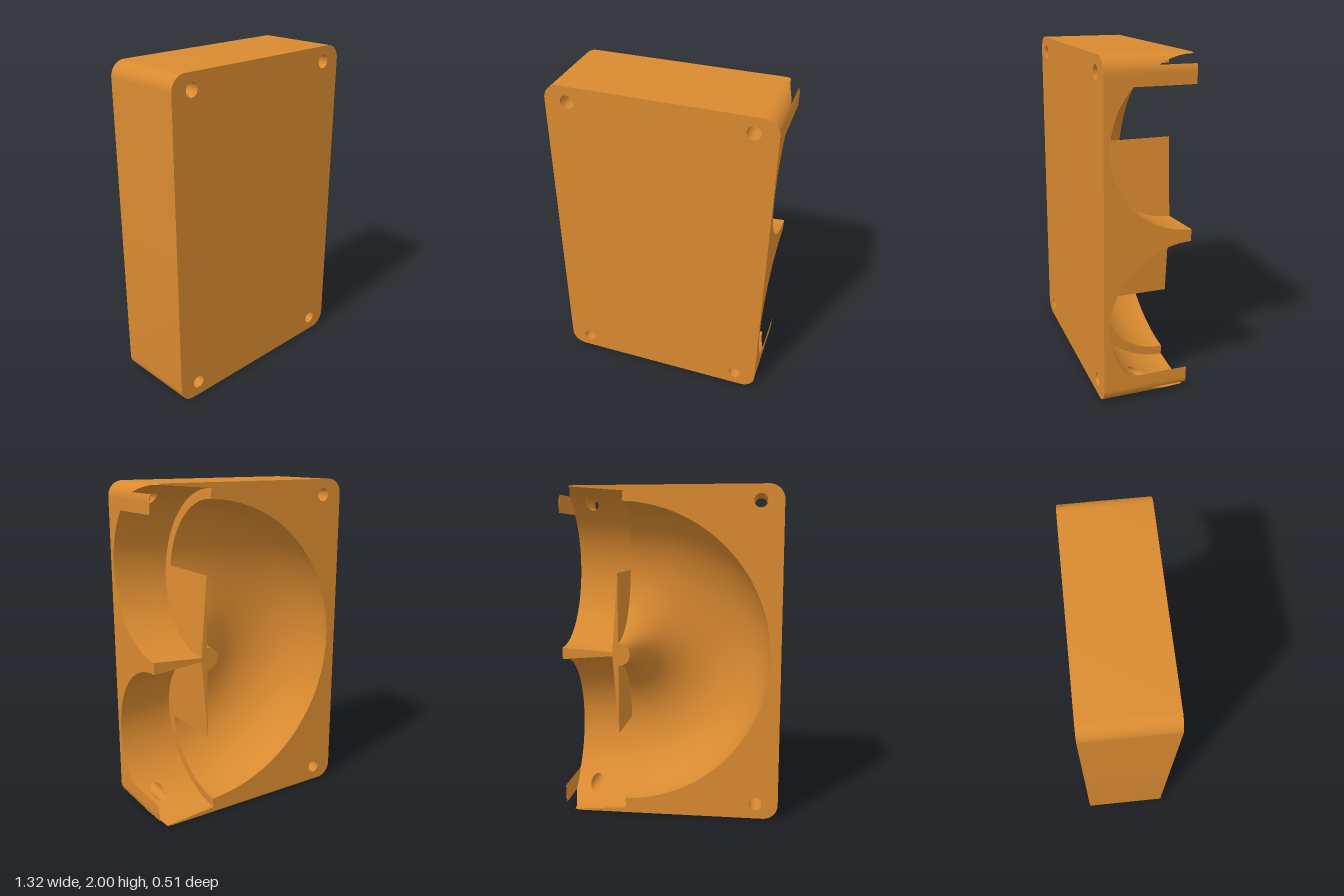
import * as THREE from 'three';
import { toCreasedNormals } from 'three/addons/utils/BufferGeometryUtils.js';

// Block: half width, front and back planes, corner radius, screw holes
const W = 0.66, F = 0.257, B = -0.257, C = 0.09;
const HX = 0.525, HY = 1.907, HR = 0.04;
// U-bend channel: centre x, bend radius, channel radius
const X0 = 0.314, R = 0.49, r = 0.42;
// Sockets: bore radius, length, tilt, axis start height
const S = 0.48, L = 0.372, T = 0.077, Y0 = 1 + R;
const sinT = Math.sin(T), cosT = Math.cos(T), PI = Math.PI;

const lerp = (a, b, t) => a + (b - a) * t;
const range = (n, f) => Array.from({ length: n + 1 }, (_, i) => f(i / n));
function bisect(f, lo, hi) { // f is true at lo, false at hi
  for (let i = 0; i < 40; i++) {
    const m = (lo + hi) / 2;
    if (f(m)) lo = m; else hi = m;
  }
  return lo;
}

// Socket coordinates: s along the tilted axis, h across it
const toSocket = (x, y) => [
  (x - X0) * cosT + (y - Y0) * sinT,
  (y - Y0) * cosT - (x - X0) * sinT,
];
const fromSocket = (s, h) => [X0 + s * cosT - h * sinT, Y0 + s * sinT + h * cosT];
const boreZ = (x, y) => {
  const h = toSocket(x, y)[1];
  return B + Math.sqrt(Math.max(0, S * S - h * h));
};
const corner = (a) => [W - C + C * Math.cos(a), 2 - C + C * Math.sin(a)];
const inside = (x, y) => x <= W && y <= 2 &&
  (x <= W - C || y <= 2 - C || Math.hypot(x - W + C, y - 2 + C) <= C);

// Where the socket meets the rounded corner and the side wall
const aEnd = bisect((a) => toSocket(...corner(a))[0] > L, 0, PI / 2);
const aTop = bisect((a) => toSocket(...corner(a))[1] < S, 0, PI / 2);
const yRim = bisect((y) => toSocket(W, y)[0] < L, 1, 2);
const hRim = toSocket(W, yRim)[1], hEnd = toSocket(...corner(aEnd))[1];
const bRim = Math.acos(hRim / S);
const boreEnd = (h) => {
  const ok = (s) => inside(...fromSocket(s, h));
  return ok(L) ? L : bisect(ok, 0, L);
};

// Start of the bend at channel angle a, cut by the tilted socket end
const bendStart = (a) => Math.max(0, T - Math.asin(sinT * R / (R + r * Math.cos(a))));
const bendPoint = (a, p) => {
  const q = R + r * Math.cos(a);
  return [X0 - q * Math.sin(p), 1 + q * Math.cos(p), B + r * Math.sin(a)];
};

// Surface over a grid of f(u, v)
function grid(nu, nv, f) {
  const pos = [], idx = [];
  for (let i = 0; i <= nu; i++) for (let j = 0; j <= nv; j++) pos.push(...f(i / nu, j / nv));
  for (let i = 0; i < nu; i++) for (let j = 0; j < nv; j++) {
    const a = i * (nv + 1) + j, b = a + nv + 1;
    idx.push(a, b, a + 1, b, b + 1, a + 1);
  }
  const g = new THREE.BufferGeometry();
  g.setAttribute('position', new THREE.Float32BufferAttribute(pos, 3));
  g.setIndex(idx);
  g.computeVertexNormals();
  return g;
}
// Wall from the front plane back to each point [x, y, z]
const wall = (pts) => toCreasedNormals(grid(pts.length - 1, 1, (u, v) => {
  const p = pts[Math.round(u * (pts.length - 1))];
  return [p[0], p[1], lerp(F, p[2], v)];
}), 0.4);
const flat = (pts, z, holes = []) => {
  const shape = new THREE.Shape(pts.map((p) => new THREE.Vector2(p[0], p[1])));
  for (const [x, y] of holes) shape.holes.push(new THREE.Path().absarc(x, y, HR, 0, 2 * PI, true));
  return new THREE.ShapeGeometry(shape, 32).translate(0, 0, z);
};

export function createModel() {
  const orange = new THREE.MeshStandardMaterial({ color: 0xd98a30, side: THREE.DoubleSide });
  orange.name = 'orange';
  const model = new THREE.Group();
  model.name = 'pipeBendHousing';

  // Front face with four screw holes
  const q = range(12, (t) => corner(t * PI / 2));
  const up = [...q, ...q.map(([x, y]) => [-x, y]).reverse()];
  const outline = [...up, ...up.map(([x, y]) => [x, 2 - y]).reverse()];
  const holes = [[HX, HY], [-HX, HY], [HX, 2 - HY], [-HX, 2 - HY]];
  const front = new THREE.Mesh(flat(outline, F, holes), orange);
  front.name = 'frontFace';
  model.add(front);

  // Everything else is symmetric about y = 1
  for (const side of [1, -1]) {
    const half = new THREE.Group();
    half.name = side > 0 ? 'upperHalf' : 'lowerHalf';
    half.scale.y = side;
    half.position.y = side > 0 ? 0 : 2;
    model.add(half);
    const add = (name, geo) => {
      const m = new THREE.Mesh(geo, orange);
      m.name = name;
      half.add(m);
    };

    // Side wall around the socket mouth
    const mouth = range(48, (t) => {
      const b = lerp(PI, bRim, t);
      return [W, Y0 + (S * Math.cos(b) + (W - X0) * sinT) / cosT, B + S * Math.sin(b)];
    });
    add('mouthWall', wall([[W, 1, B], ...mouth]));
    add('mouthStrip', wall([[W, yRim, B], ...range(8, (t) => [...corner(t * aEnd), B])]));
    add('cornerWall', wall(range(16, (t) => {
      const p = corner(lerp(aEnd, aTop, t));
      return [...p, boreZ(...p)];
    })));
    add('outerWall', wall([
      ...range(4, (t) => [...corner(lerp(aTop, PI / 2, t)), B]),
      ...q.map(([x, y]) => [-x, y, B]).reverse(),
      [-W, 1, B],
    ]));
    // Inner side and back edge of the thin strip
    add('stripInside', grid(10, 1, (u, v) => {
      const h = lerp(hRim, hEnd, u);
      return [...fromSocket(L, h), lerp(B, B + Math.sqrt(S * S - h * h), v)];
    }));
    add('stripEdge', flat([[W, yRim], ...range(8, (t) => corner(t * aEnd))], B));

    // Back face outside the channel, and the divider inside it
    add('backFace', flat([
      [-W, 1], ...q.map(([x, y]) => [-x, y]),
      ...range(8, (t) => corner(lerp(PI / 2, aTop, t))),
      fromSocket(0, S),
      ...range(64, (t) => bendPoint(0, lerp(bendStart(0), PI / 2, t))),
    ], B, [[-HX, HY]]));
    add('divider', flat([
      ...range(16, (t) => bendPoint(PI, lerp(PI / 2, 0, t))),
      [X0, Y0], fromSocket(0, -S), fromSocket(boreEnd(-S), -S), [W, 1],
    ], B));

    // Half-round bend channel
    add('bendChannel', grid(48, 48, (u, v) =>
      bendPoint(u * PI, lerp(bendStart(u * PI), PI / 2, v))));
    // Panel closing the inner half of the channel
    add('panelBack', grid(24, 1, (u, v) => {
      const a = lerp(PI / 2, PI, u);
      return [X0, Y0 + v * r * Math.cos(a), B + v * r * Math.sin(a)];
    }));
    add('panelFront', grid(24, 1, (u, v) => {
      const a = lerp(PI / 2, PI, u);
      return [...fromSocket(0, v * S * Math.cos(a)), B + v * S * Math.sin(a)];
    }));
    // Ledge between channel and socket
    add('socketLedge', grid(32, 1, (u, v) => {
      const a = u * PI / 2;
      if (v === 0) return bendPoint(a, bendStart(a));
      return [...fromSocket(0, S * Math.cos(a)), B + S * Math.sin(a)];
    }));

    // Socket bore, split into bands around the screw hole
    const [hs, hh] = toSocket(HX, HY);
    const bLo = Math.acos((hh + HR) / S), bHi = Math.acos((hh - HR) / S);
    const bore = (b0, b1, n, from, to) => add('socketBore', grid(n, 4, (u, v) => {
      const b = lerp(b0, b1, (1 - Math.cos(u * PI)) / 2), h = S * Math.cos(b);
      return [...fromSocket(lerp(from(h), to(h), v), h), B + S * Math.sin(b)];
    }));
    const start = () => 0;
    const gap = (h) => Math.sqrt(Math.max(0, HR * HR - (h - hh) ** 2));
    bore(0, bLo, 16, start, boreEnd);
    bore(bLo, bHi, 24, start, (h) => hs - gap(h));
    bore(bLo, bHi, 24, (h) => hs + gap(h), boreEnd);
    bore(bHi, bRim, 6, start, boreEnd);
    bore(bRim, PI, 48, start, boreEnd);

    // Screw holes: one runs into the socket, one right through
    for (const sx of [1, -1]) {
      add('screwHole', grid(32, 1, (u, v) => {
        const x = sx * HX + HR * Math.cos(u * 2 * PI), y = HY + HR * Math.sin(u * 2 * PI);
        return [x, y, lerp(F, sx > 0 ? boreZ(x, y) : B, v)];
      }));
    }
  }
  return model;
}
